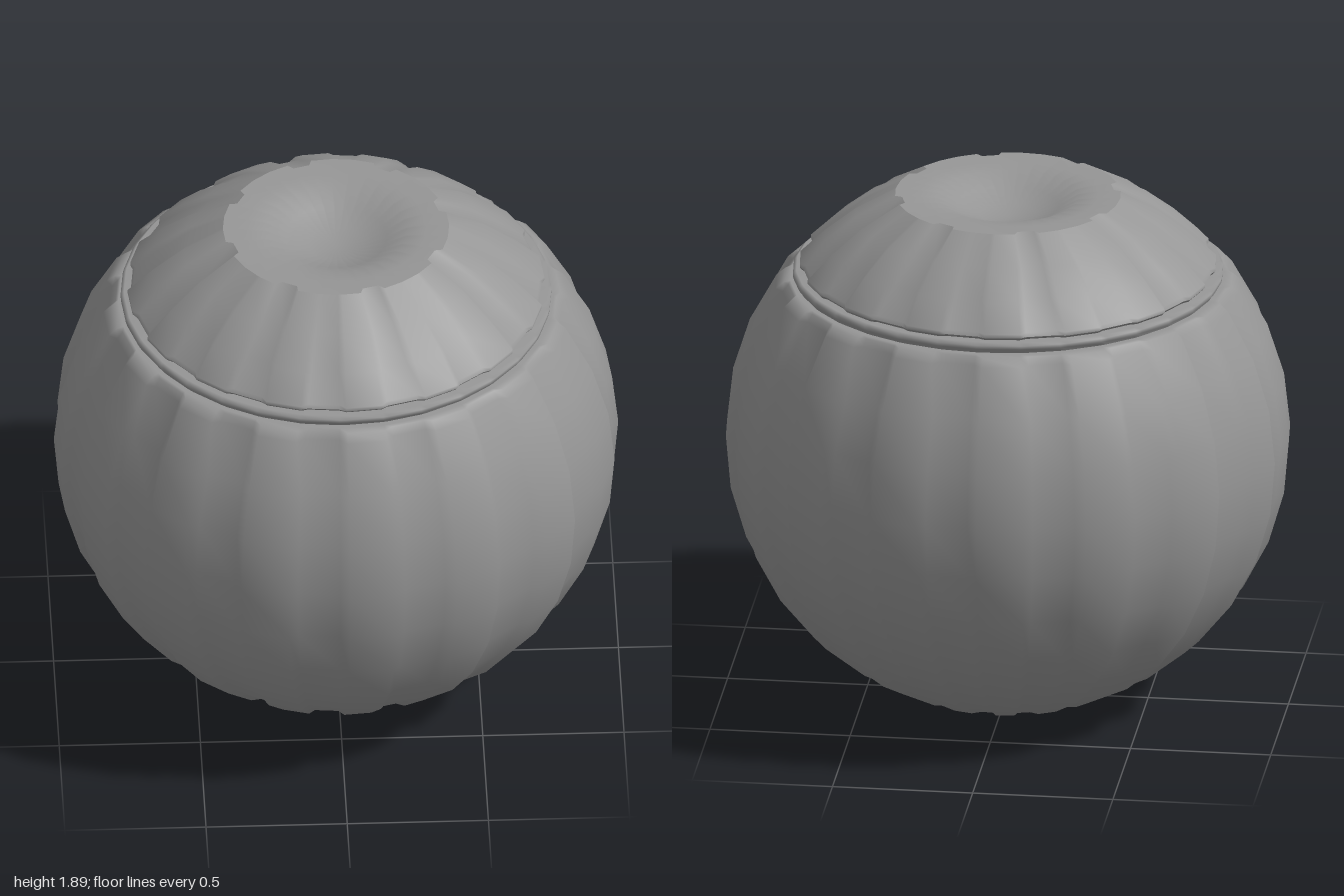
import * as THREE from 'three';
import { mergeVertices } from 'three/addons/utils/BufferGeometryUtils.js';

const RIBS = 16;
const CENTRE_Y = 0.98; // centre of the unit sphere the jar is cut from
const GROOVE = 0.024;
const RIB_ANGLES = [0.7, 10.5, 12.3, 21.2]; // ridge start, ridge end, groove start, groove end
const material = new THREE.MeshStandardMaterial({ color: 0x969696, side: THREE.DoubleSide });

// Lathe whose rings are pushed in at every groove;
// profile points are [radius, y, grooveDepth, depth of every second groove]
function ribbed(name, profile) {
  const points = profile.map(([r, y]) => new THREE.Vector2(r, y));
  const geometry = new THREE.LatheGeometry(points, RIBS * 4);
  const pos = geometry.attributes.position;
  for (let i = 0; i < pos.count; i++) {
    const ring = Math.floor(i / profile.length) % (RIBS * 4);
    const [r, y, depth = 0, oddDepth = depth] = profile[i % profile.length];
    const rib = Math.floor(ring / 4);
    const step = ring % 4;
    const angle = THREE.MathUtils.degToRad(rib * (360 / RIBS) + RIB_ANGLES[step]);
    const radius = step < 2 ? r : r - (rib % 2 ? oddDepth : depth);
    pos.setXYZ(i, radius * Math.sin(angle), y, radius * Math.cos(angle));
  }
  geometry.deleteAttribute('uv');
  geometry.deleteAttribute('normal');
  const welded = mergeVertices(geometry, 1e-5);
  welded.computeVertexNormals();
  const mesh = new THREE.Mesh(welded, material);
  mesh.name = name;
  return mesh;
}

// Points along the sphere between two latitudes in degrees
function arc(from, to, steps) {
  return Array.from({ length: steps + 1 }, (_, i) => {
    const a = THREE.MathUtils.degToRad(from + ((to - from) * i) / steps);
    return [Math.cos(a), CENTRE_Y + Math.sin(a), GROOVE];
  });
}

export function createModel() {
  const group = new THREE.Group();
  group.name = 'ribbedJar';

  // Body with shallow grooves at the foot and a lip turned in towards the neck
  group.add(ribbed('body', [
    [0.2, 0, 0.01],
    ...arc(-67, 34.5, 9),
    [0.795, 1.572, 0.015], [0.77, 1.577], [0.73, 1.575],
  ]));
  group.add(ribbed('base', [[0, 0], [0.2, 0, 0.01]]));

  // Smooth rounded ring between body and lid
  group.add(ribbed('neckRing', [
    [0.745, 1.56], [0.752, 1.582], [0.762, 1.593], [0.762, 1.606], [0.75, 1.616], [0.6, 1.618],
  ]));

  // Lid: rim, ribbed slope whose grooves fade in pairs, and hollowed top
  group.add(ribbed('lidRim', [[0.6, 1.612], [0.725, 1.612, 0.01], [0.738, 1.626, 0.012]]));
  group.add(ribbed('lid', [
    [0.738, 1.626, 0.012], [0.738, 1.64, 0.02], [0.65, 1.725, GROOVE, 0.02],
    [0.54, 1.812, GROOVE, 0.012], [0.4, 1.89, GROOVE, 0],
  ]));
  group.add(ribbed('lidDish', [
    [0.4, 1.89, GROOVE, 0], [0.32, 1.888], [0.25, 1.88], [0.18, 1.845], [0.1, 1.815], [0, 1.805],
  ]));
  return group;
}
